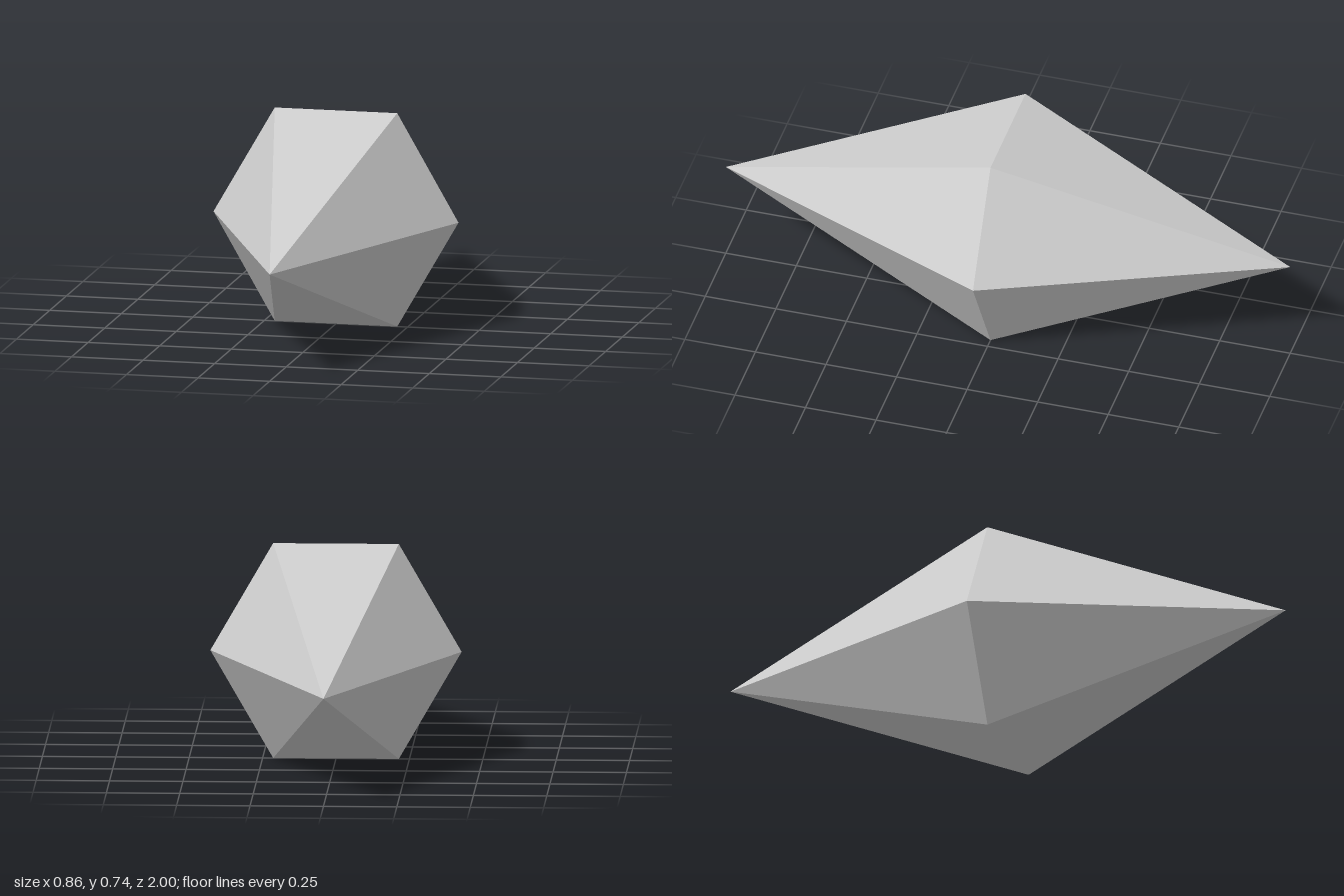
import * as THREE from 'three';

export function createModel() {
  const group = new THREE.Group();
  group.name = 'crystal';
  const material = new THREE.MeshStandardMaterial({ color: 0xcccccc, flatShading: true });

  const radius = 0.428;
  const centreY = radius * Math.cos(Math.PI / 6); // lower flat edge rests on the ground

  // Six-sided pyramid, base at z = 0 and tip one unit along +z or -z
  const addPoint = (name, direction) => {
    const geometry = new THREE.ConeGeometry(radius, 1, 6, 1, true, Math.PI / 2);
    geometry.translate(0, 0.5, 0);
    geometry.rotateX(direction * Math.PI / 2);
    const mesh = new THREE.Mesh(geometry, material);
    mesh.name = name;
    mesh.position.y = centreY;
    group.add(mesh);
  };

  addPoint('frontPoint', 1);
  addPoint('backPoint', -1);
  return group;
}
